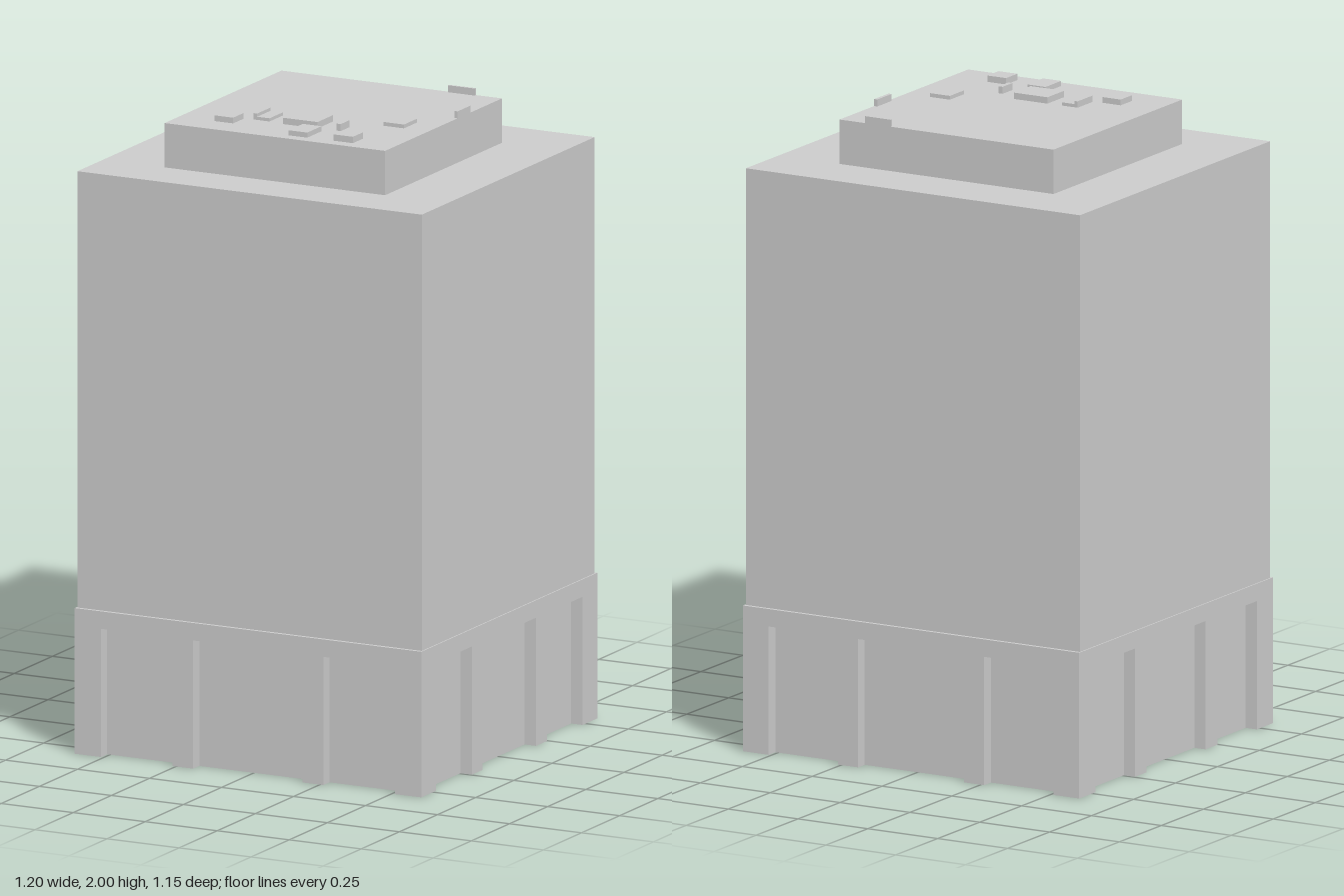
import * as THREE from 'three';

const grey = new THREE.MeshStandardMaterial({ color: 0xcccccc, flatShading: true });
const shell = new THREE.MeshStandardMaterial({ color: 0xcccccc, flatShading: true, side: THREE.DoubleSide });

const HX = 0.602, HZ = 0.577;      // half footprint of the base
const BASE = 0.46, OPEN = 0.405;   // base height, recess height
const DEPTH = 0.04;                // recess depth

// box given by its extents
function block(name, x0, x1, y0, y1, z0, z1) {
  const m = new THREE.Mesh(new THREE.BoxGeometry(x1 - x0, y1 - y0, z1 - z0), grey);
  m.position.set((x0 + x1) / 2, (y0 + y1) / 2, (z0 + z1) / 2);
  m.name = name;
  return m;
}

function panel(name, w, h, x, y, z, rx = 0, ry = 0) {
  const m = new THREE.Mesh(new THREE.PlaneGeometry(w, h), shell);
  m.position.set(x, y, z);
  m.rotation.set(rx, ry, 0);
  m.name = name;
  return m;
}

// one base wall facing +z at z = 0: a face notched by three recessed bays
function baseWall(name, half, bays) {
  const wall = new THREE.Group();
  wall.name = name;
  const s = new THREE.Shape();
  s.moveTo(-half, 0);
  for (const [a, b] of bays) {
    s.lineTo(a, 0);
    s.lineTo(a, OPEN);
    s.lineTo(b, OPEN);
    s.lineTo(b, 0);
  }
  s.lineTo(half, 0);
  s.lineTo(half, BASE);
  s.lineTo(-half, BASE);
  s.closePath();
  const face = new THREE.Mesh(new THREE.ShapeGeometry(s), shell);
  face.name = 'wallFace';
  wall.add(face);
  for (const [a, b] of bays) {
    const mid = (a + b) / 2, w = b - a;
    wall.add(panel('bayPanel', w, OPEN, mid, OPEN / 2, -DEPTH));
    wall.add(panel('bayLintel', w, DEPTH, mid, OPEN, -DEPTH / 2, Math.PI / 2));
    for (const x of [a, b])
      wall.add(panel('bayJamb', DEPTH, OPEN, x, OPEN / 2, -DEPTH / 2, 0, Math.PI / 2));
  }
  return wall;
}

export function createModel() {
  const g = new THREE.Group();
  g.name = 'building';

  // hollow base, open underneath
  const baysX = [[-0.51, -0.262], [-0.19, 0.19], [0.262, 0.51]];
  const baysZ = [[-0.48, -0.245], [-0.175, 0.175], [0.245, 0.48]];
  ['frontWall', 'leftWall', 'backWall', 'rightWall'].forEach((name, i) => {
    const side = i % 2;
    const wall = baseWall(name, side ? HZ : HX, side ? baysZ : baysX);
    wall.rotation.y = i * Math.PI / 2;
    const d = side ? HX : HZ;
    wall.position.set(Math.sin(wall.rotation.y) * d, 0, Math.cos(wall.rotation.y) * d);
    g.add(wall);
  });
  g.add(panel('baseLedge', HX * 2, HZ * 2, 0, BASE, 0, -Math.PI / 2));

  // plain tower and the raised roof slab
  g.add(block('tower', -0.598, 0.598, BASE, 1.838, -0.566, 0.566));
  const top = 1.978;
  g.add(block('roofSlab', -0.385, 0.381, 1.838, top, -0.369, 0.397));

  // rooftop units: x0, x1, z0, z1, top
  const units = [
    [-0.262, -0.197, 0.235, 0.302, 1.996],
    [-0.165, -0.153, 0.14, 0.228, 1.998],
    [-0.153, -0.11, 0.14, 0.228, 1.988],
    [-0.058, 0.062, 0.138, 0.238, 1.998],
    [0.126, 0.141, 0.178, 0.235, 2],
    [0.025, 0.09, 0.265, 0.358, 1.994],
    [0.18, 0.247, 0.288, 0.355, 1.998],
    [0.225, 0.296, 0.028, 0.113, 1.99],
  ];
  for (const [x0, x1, z0, z1, y] of units) g.add(block('roofUnit', x0, x1, top - 0.004, y, z0, z1));

  // upright slabs on the roof edge
  g.add(block('sideUpstand', 0.37, 0.381, top - 0.004, 2, -0.163, -0.078));
  g.add(block('backUpstand', 0.197, 0.29, top - 0.004, 2, -0.369, -0.362));

  return g;
}
